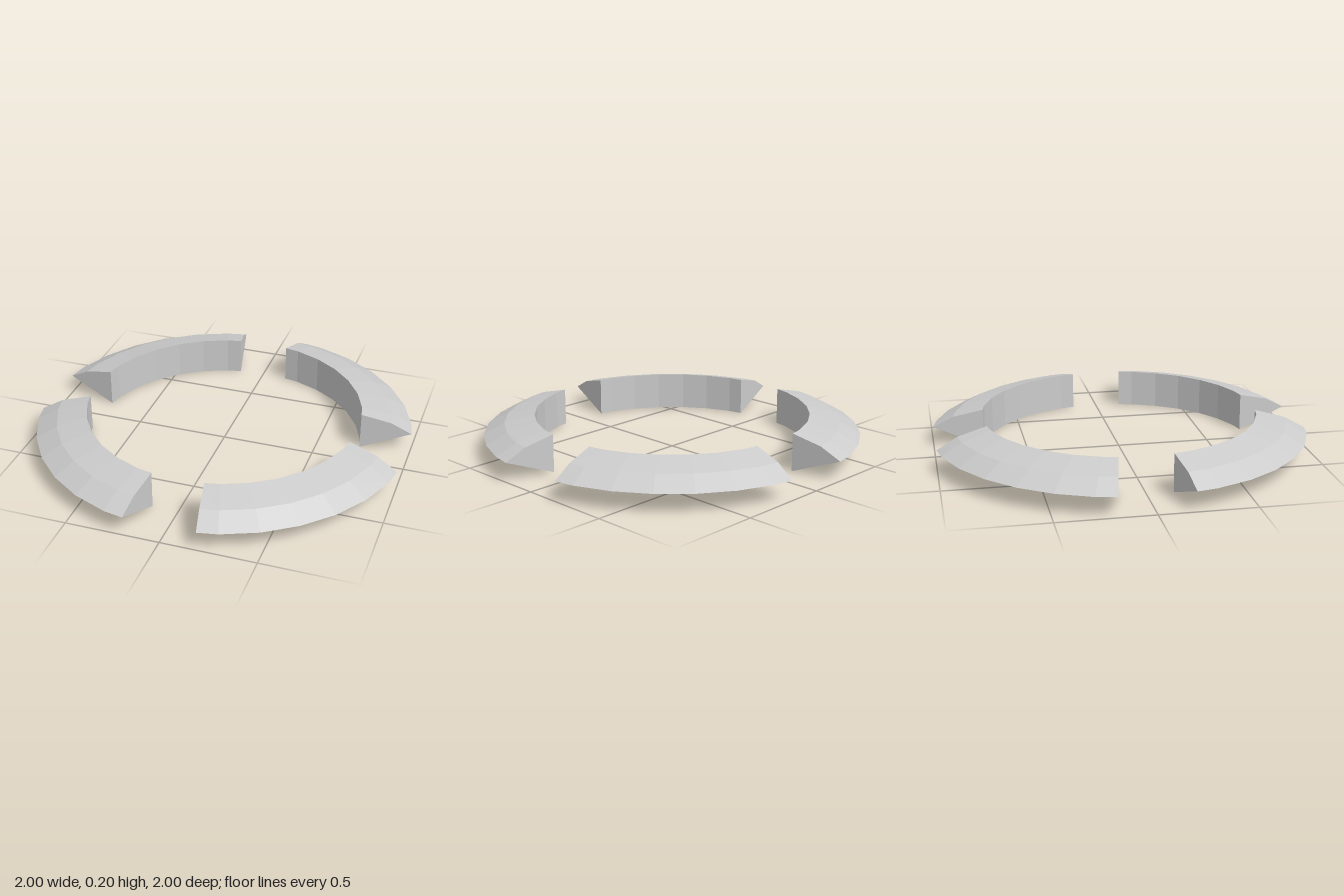
import * as THREE from 'three';

const STEP = Math.PI / 16;              // the full ring has 32 sides
const CUT = THREE.MathUtils.degToRad(10.8);

// Cross-section as [radius, height]: flat inner wall, sharp outer rim, bevelled top
const PROFILE = [[0.747, 0], [1.022, 0.105], [0.91, 0.165], [0.747, 0.205]];

// Sections at the ring's corners, plus the two cut ends which lie on its flat sides
function sectionAngles() {
  const angles = [CUT];
  for (let i = 1; i <= 6; i++) angles.push((i + 0.5) * STEP);
  angles.push(Math.PI / 2 - CUT);
  return angles;
}

function arcGeometry() {
  const sections = sectionAngles().map((a) => {
    // shrink the radius where a section falls between two corners
    const fromMid = a - Math.round(a / STEP) * STEP;
    const k = Math.cos(STEP / 2) / Math.cos(fromMid);
    return PROFILE.map(([r, y]) => [r * k * Math.cos(a), y, r * k * Math.sin(a)]);
  });
  const pos = [];
  const quad = (a, b, c, d) => pos.push(...a, ...b, ...c, ...a, ...c, ...d);

  for (let s = 0; s < sections.length - 1; s++) {
    const p = sections[s], q = sections[s + 1];
    for (let i = 0; i < 4; i++) {
      const j = (i + 1) % 4;
      quad(p[i], p[j], q[j], q[i]);
    }
  }
  // end caps
  const first = sections[0], last = sections[sections.length - 1];
  quad(first[3], first[2], first[1], first[0]);
  quad(last[0], last[1], last[2], last[3]);

  const geo = new THREE.BufferGeometry();
  geo.setAttribute('position', new THREE.Float32BufferAttribute(pos, 3));
  geo.computeVertexNormals();
  return geo;
}

export function createModel() {
  const group = new THREE.Group();
  group.name = 'segmentedRing';
  const material = new THREE.MeshStandardMaterial({ color: 0xcccccc, flatShading: true });
  const geo = arcGeometry();
  // four equal arcs, a quarter turn apart
  ['frontLeftArc', 'backLeftArc', 'backRightArc', 'frontRightArc'].forEach((name, i) => {
    const arc = new THREE.Mesh(geo, material);
    arc.name = name;
    arc.rotation.y = (i * Math.PI) / 2;
    group.add(arc);
  });
  return group;
}
